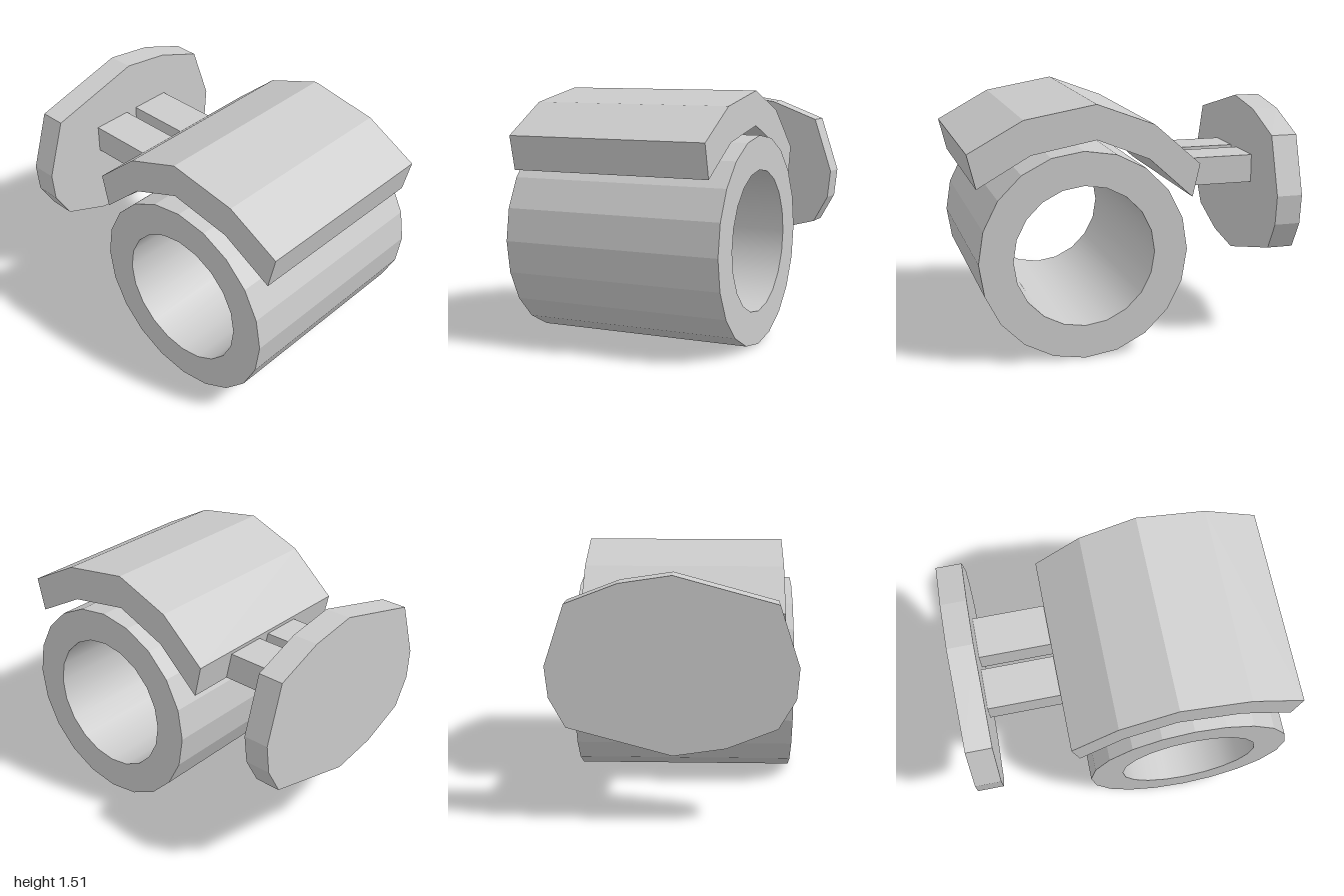
import * as THREE from 'three';

const flat = new THREE.MeshStandardMaterial({ color: 0xcccccc, flatShading: true });
const inside = new THREE.MeshStandardMaterial({ color: 0xcccccc, side: THREE.BackSide });

function add(parent, name, geometry, material = flat) {
  const mesh = new THREE.Mesh(geometry, material);
  mesh.name = name;
  parent.add(mesh);
  return mesh;
}

function extrude(points, depth) {
  const shape = new THREE.Shape(points.map(([a, b]) => new THREE.Vector2(a, b)));
  return new THREE.ExtrudeGeometry(shape, { depth, bevelEnabled: false });
}

// Extrude a side profile of [z, y] points from x0 to x1
function sideExtrude(points, x0, x1) {
  return extrude(points, x1 - x0).rotateY(-Math.PI / 2).translate(x1, 0, 0);
}

export function createModel() {
  const model = new THREE.Group();
  model.name = 'model';

  // Thick 20-sided sleeve lying along x
  const outer = 0.628, inner = 0.425, length = 1.36, sides = 20;
  const sleeve = new THREE.Group();
  sleeve.name = 'sleeve';
  sleeve.position.set(-0.04, 0.628, 0.33);
  model.add(sleeve);
  const tube = (r) => new THREE.CylinderGeometry(r, r, length, sides, 1, true).rotateZ(Math.PI / 2);
  add(sleeve, 'sleeveOuterWall', tube(outer));
  add(sleeve, 'sleeveBore', tube(inner), inside);
  for (const s of [-1, 1]) {
    const end = new THREE.RingGeometry(inner, outer, sides).rotateY(s * Math.PI / 2);
    add(sleeve, s > 0 ? 'sleeveLeftEnd' : 'sleeveRightEnd', end.translate(s * length / 2, 0, 0));
  }

  // Faceted curved cover above the sleeve
  add(model, 'cover', sideExtrude([
    [1, 1.26], [0.67, 1.44], [0.24, 1.513], [-0.11, 1.38], [-0.395, 1.13],
    [-0.35, 0.93], [-0.08, 1.175], [0.24, 1.305], [0.63, 1.235], [0.95, 1.055],
  ], -0.657, 0.58));

  // Two arms joining the cover to the back plate
  const arm = [[-0.35, 0.93], [-0.39, 1.105], [-0.84, 1.105], [-0.84, 0.93]];
  add(model, 'leftArm', sideExtrude(arm, 0.04, 0.3));
  add(model, 'rightArm', sideExtrude(arm, -0.295, -0.04));

  // Irregular many-sided back plate
  add(model, 'backPlate', extrude([
    [0.6, 1.28], [0.3, 1.395], [0, 1.44], [-0.59, 1.28], [-0.705, 0.93], [-0.69, 0.75],
    [-0.59, 0.58], [-0.3, 0.465], [0, 0.42], [0.6, 0.58], [0.695, 0.75], [0.715, 0.93],
  ], 0.16).translate(0, 0, -1));

  return model;
}
